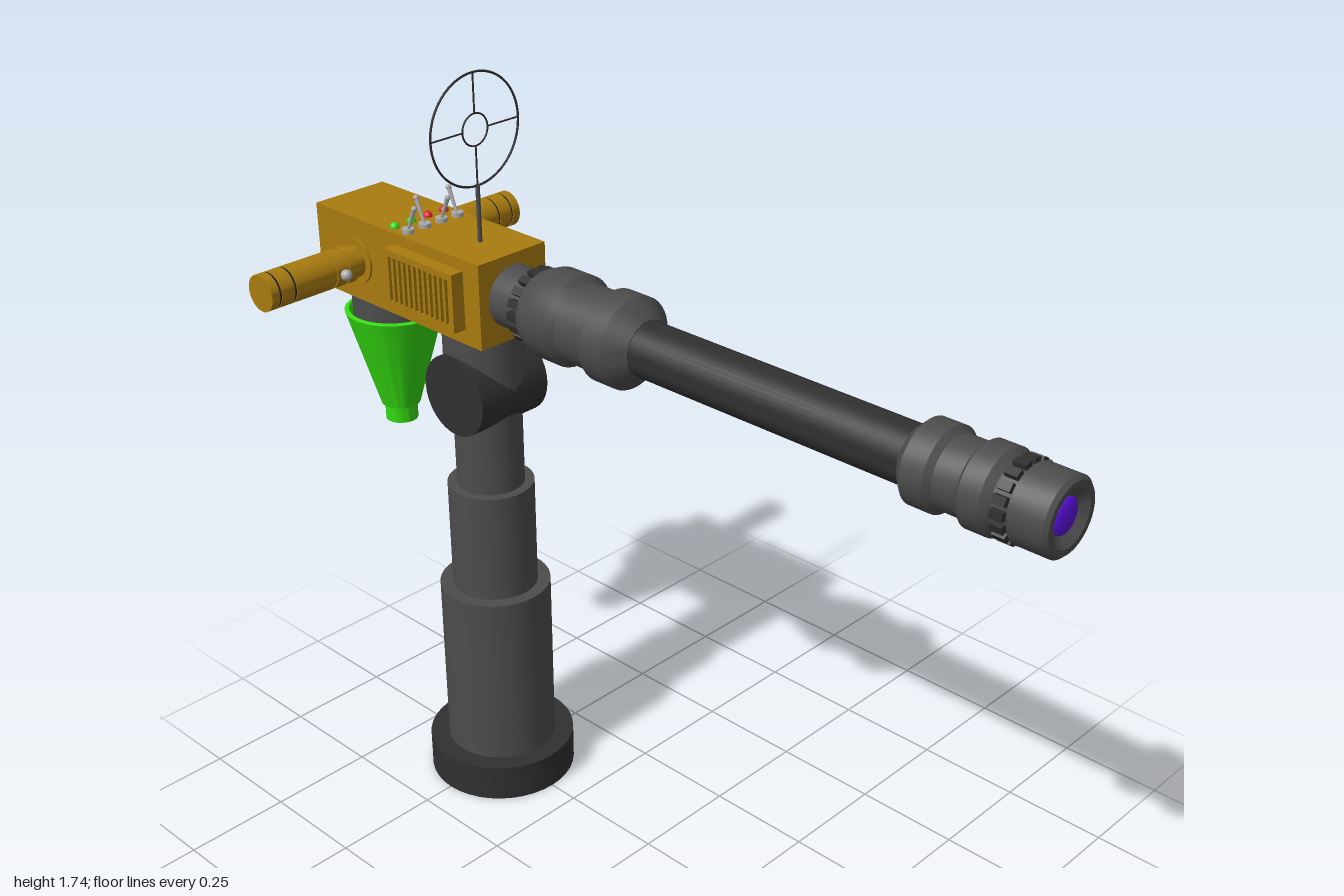
import * as THREE from 'three';
import { toCreasedNormals } from 'three/addons/utils/BufferGeometryUtils.js';

const mat = (color) => new THREE.MeshStandardMaterial({ color });
const M = {
  steel: mat(0x4c4c4c), dark: mat(0x303030), gold: mat(0xa87b10), green: mat(0x33d811),
  orange: mat(0xff4412), purple: mat(0x5a10e0), chrome: mat(0xaaaaaa), red: mat(0xdd2222), black: mat(0x1c1c1c),
};

export function createModel() {
  const root = new THREE.Group();
  const add = (name, geo, material, x = 0, y = 0, z = 0, parent = root) => {
    const m = new THREE.Mesh(geo, material);
    m.name = name;
    m.position.set(x, y, z);
    parent.add(m);
    return m;
  };
  // turned part: profile of [radius, height] pairs with crisp steps
  const turned = (pts, seg = 40) =>
    toCreasedNormals(new THREE.LatheGeometry(pts.map(([r, h]) => new THREE.Vector2(r, h)), seg), 0.5);
  const cyl = (r, h, seg = 32) => new THREE.CylinderGeometry(r, r, h, seg);

  const PZ = -0.5;   // pedestal axis
  const BY = 1.27;   // barrel height
  const HZ = -0.81;  // handle axis

  // pedestal: hollow foot and telescoping column
  add('foot', turned([[0, 0.08], [0.085, 0.08], [0.085, 0], [0.175, 0], [0.175, 0.09], [0.12, 0.09]]), M.dark, 0, 0, PZ);
  add('column', turned([[0.13, 0.09], [0.13, 0.52], [0.1, 0.52], [0.1, 0.785], [0.078, 0.785], [0.078, 1.03]]), M.steel, 0, 0, PZ);

  // swivel joint
  add('swivelPin', cyl(0.095, 0.194).rotateZ(Math.PI / 2), M.dark, 0, 1.03, PZ);
  add('swivelNeck', cyl(0.094, 0.14), M.steel, 0, 1.1, PZ);

  // body
  add('body', new THREE.BoxGeometry(0.192, 0.195, 0.545), M.gold, 0, 1.2675, -0.6725);

  // slotted vent panels on both sides
  const panel = new THREE.Shape([[-0.112, -0.067], [0.112, -0.067], [0.112, 0.067], [-0.112, 0.067]]
    .map(([x, y]) => new THREE.Vector2(x, y)));
  for (let i = 0; i < 12; i++) {
    const x = -0.093 + i * 0.0169, w = 0.0045;
    panel.holes.push(new THREE.Path([[x - w, -0.052], [x - w, 0.052], [x + w, 0.052], [x + w, -0.052]]
      .map(([a, b]) => new THREE.Vector2(a, b))));
  }
  const ventGeo = new THREE.ExtrudeGeometry(panel, { depth: 0.033, bevelEnabled: false });
  for (const s of [-1, 1]) {
    add('ventPanel', ventGeo, M.gold, s * 0.095, 1.272, -0.562).rotation.y = s * Math.PI / 2;
    add('ventBacking', new THREE.BoxGeometry(0.012, 0.11, 0.2), M.black, s * 0.097, 1.272, -0.562);
  }

  // barrel along z
  const alongZ = (name, pts, material) => add(name, turned(pts).rotateX(Math.PI / 2), material, 0, BY, 0);
  alongZ('breech', [
    [0.07, -0.41], [0.07, -0.3], [0.086, -0.3], [0.1, -0.265], [0.1, -0.2], [0.087, -0.185],
    [0.087, -0.11], [0.1, -0.098], [0.1, -0.04], [0.062, 0], [0.05, 0]], M.steel);
  alongZ('barrelTube', [[0.06, -0.02], [0.06, 0.7]], M.dark);
  alongZ('muzzle', [
    [0.055, 0.675], [0.066, 0.675], [0.086, 0.695], [0.086, 0.745], [0.074, 0.757], [0.074, 0.81], [0.086, 0.82],
    [0.086, 0.865], [0.072, 0.88], [0.072, 0.92], [0.079, 0.92], [0.079, 0.992], [0.071, 1], [0.058, 1],
    [0.038, 0.985], [0, 0.985]], M.steel);
  add('lens', new THREE.SphereGeometry(0.037, 24, 8, 0, Math.PI * 2, 0, Math.PI / 2)
    .scale(1, 0.25, 1).rotateX(Math.PI / 2), M.purple, 0, BY, 0.986);

  // toothed rings
  for (const [z, r] of [[-0.315, 0.077], [0.9, 0.075]]) {
    const ring = new THREE.Group();
    ring.name = 'toothedRing';
    ring.position.set(0, BY, z);
    root.add(ring);
    const tooth = new THREE.BoxGeometry(0.018, 0.016, 0.028);
    for (let i = 0; i < 18; i++) {
      const a = i / 18 * Math.PI * 2;
      add('tooth', tooth, M.dark, Math.cos(a) * r, Math.sin(a) * r, 0, ring).rotation.z = a - Math.PI / 2;
    }
  }

  // side handles with grooved grips and small thumb knobs
  const handleGeo = turned([
    [0.053, 0.09], [0.053, 0.102], [0.036, 0.102], [0.036, 0.125], [0.042, 0.125], [0.042, 0.148], [0.039, 0.148],
    [0.039, 0.153], [0.042, 0.153], [0.042, 0.183], [0.039, 0.183], [0.039, 0.188], [0.042, 0.188],
    [0.042, 0.295], [0.039, 0.295], [0.039, 0.3], [0.042, 0.3], [0.042, 0.335], [0.039, 0.335],
    [0.039, 0.34], [0.042, 0.34], [0.042, 0.361], [0, 0.361]], 32);
  for (const s of [-1, 1]) {
    add('handle', handleGeo, M.gold, 0, 1.264, HZ).rotation.z = -s * Math.PI / 2;
    for (const x of [0.297, 0.337])
      add('gripBand', cyl(0.0405, 0.005).rotateZ(Math.PI / 2), M.black, s * x, 1.264, HZ);
    add('thumbStem', cyl(0.007, 0.03, 12).rotateX(Math.PI / 2), M.chrome, s * 0.168, 1.264, -0.768);
    add('thumbKnob', new THREE.SphereGeometry(0.013, 16, 12), M.chrome, s * 0.168, 1.264, -0.758);
  }

  // rear lamp
  add('lampBezel', cyl(0.082, 0.012, 40).rotateX(Math.PI / 2), M.dark, 0, 1.265, -0.947);
  add('rearLamp', new THREE.SphereGeometry(0.073, 32, 12, 0, Math.PI * 2, 0, Math.PI / 2)
    .scale(1, 0.7, 1).rotateX(-Math.PI / 2), M.orange, 0, 1.265, -0.949);

  // hanging cone with its neck
  add('coneNeck', cyl(0.096, 0.08), M.steel, 0, 1.14, HZ);
  add('cone', turned([
    [0, 0.855], [0.03, 0.855], [0.03, 0.84], [0.038, 0.84], [0.038, 0.882], [0.046, 0.882],
    [0.115, 1.122], [0.105, 1.125], [0.09, 1.1]]), M.green, 0, 0, HZ);

  // ring sight
  const sight = new THREE.Group();
  sight.name = 'ringSight';
  sight.position.set(0, 1.613, PZ);
  root.add(sight);
  add('outerRing', new THREE.TorusGeometry(0.122, 0.0025, 8, 64), M.dark, 0, 0, 0, sight);
  add('innerRing', new THREE.TorusGeometry(0.035, 0.002, 8, 32), M.dark, 0, 0, 0, sight);
  for (let i = 0; i < 4; i++) {
    const a = i * Math.PI / 2;
    add('crosshair', cyl(0.002, 0.087, 8), M.dark, Math.cos(a) * 0.0785, Math.sin(a) * 0.0785, 0, sight)
      .rotation.z = a - Math.PI / 2;
  }
  add('sightPost', cyl(0.005, 0.135, 12), M.steel, 0, -0.188, 0, sight);

  // toggle switches and indicator lights
  [-0.073, -0.025, 0.022, 0.069].forEach((x, i) => {
    const toggle = new THREE.Group();
    toggle.name = 'toggleSwitch';
    toggle.position.set(x, 1.365, -0.652);
    root.add(toggle);
    add('toggleBase', cyl(0.014, 0.012, 12), M.chrome, 0, 0.004, 0, toggle);
    const lever = add('toggleLever', new THREE.CylinderGeometry(0.0055, 0.003, 0.062, 10).translate(0, 0.031, 0),
      M.chrome, 0, 0.004, 0, toggle);
    lever.rotation.x = i % 2 ? -0.42 : 0.42;
    add('toggleTip', new THREE.SphereGeometry(0.0065, 10, 8), M.chrome, 0, 0.062, 0, lever);
    add('indicatorLight', new THREE.SphereGeometry(0.011, 14, 10), i < 2 ? M.green : M.red, x, 1.366, -0.698);
  });

  return root;
}
